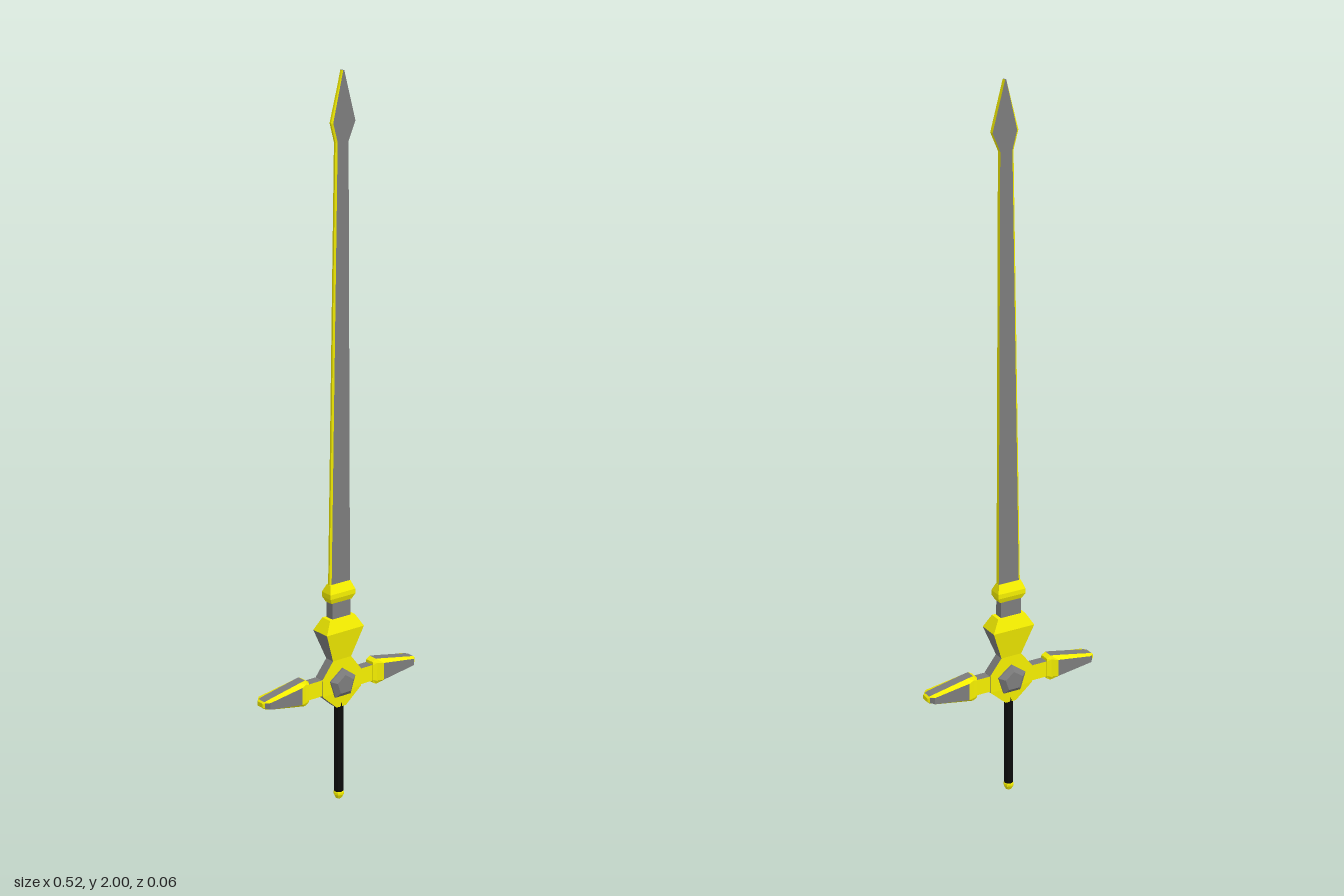
import * as THREE from 'three';

const paint = (color) => new THREE.MeshStandardMaterial({ color, flatShading: true });

// Joins cross-section loops of [x, y, z] corners; pick(segment, side) chooses the material.
function loft(name, rings, mats, pick) {
  const pos = [], geo = new THREE.BufferGeometry();
  const face = (corners, mat) => {
    const start = pos.length / 3;
    for (let i = 1; i < corners.length - 1; i++) pos.push(...corners[0], ...corners[i], ...corners[i + 1]);
    geo.addGroup(start, pos.length / 3 - start, mat);
  };
  const n = rings[0].length, last = rings.length - 1;
  for (let i = 0; i < last; i++) {
    for (let j = 0; j < n; j++) {
      const k = (j + 1) % n;
      face([rings[i][j], rings[i][k], rings[i + 1][k], rings[i + 1][j]], pick(i, j));
    }
  }
  face([...rings[0]].reverse(), pick(0, 0));
  face(rings[last], pick(last - 1, 0));
  geo.setAttribute('position', new THREE.Float32BufferAttribute(pos, 3));
  geo.computeVertexNormals();
  const mesh = new THREE.Mesh(geo, mats);
  mesh.name = name;
  return mesh;
}

// Rectangle at height y; sides run front, +x, back, -x
const slab = ([y, w, d]) => [[-w, y, d], [w, y, d], [w, y, -d], [-w, y, -d]];

// Bevelled loop across x: half height h, half depth d, half depth t of the flat top.
// Even sides are bevels; 1 and 5 are front and back, 3 and 7 bottom and top.
const octagon = ([x, h, d, t]) => {
  const s = h * 0.72;
  return [[t, h], [d, s], [d, -s], [t, -h], [-t, -h], [-d, -s], [-d, s], [-t, h]]
    .map(([z, dy]) => [x, 0.352 + dy, z]);
};

export function createModel() {
  const group = new THREE.Group();
  const GREY = 0, GOLD = 1;
  const steel = paint(0x7c7c7c), gold = paint(0xf4ee00), black = paint(0x0c0c0c);
  const mats = [steel, gold];

  // The sword's axis sits a touch to the left of the cross-guard's middle
  const core = new THREE.Group();
  core.name = 'swordCore';
  core.position.x = 0.003;
  group.add(core);
  const add = (name, geo, mat, y = 0) => {
    const mesh = new THREE.Mesh(geo, mat);
    mesh.name = name;
    mesh.position.y = y;
    core.add(mesh);
  };

  // Blade with a spear-shaped head, bevelled on one edge
  const blade = [
    [0.6, -0.034, 0.034], [1.82, -0.013, 0.027], [1.87, -0.027, 0.049], [2.0, 0.008, 0.013],
  ].map(([y, l, r]) => {
    const t = 0.006, b = l + Math.min(0.005, (r - l) / 3);
    return [[b, y, t], [r, y, t], [r, y, -t], [b, y, -t], [l, y, -t / 2], [l, y, t / 2]];
  });
  core.add(loft('blade', blade, mats, (i, j) => (j === 0 || j === 2 ? GREY : GOLD)));

  // Collar and neck under the blade
  core.add(loft('bladeCollar',
    [[0.585, 0.034, 0.013], [0.6, 0.042, 0.019], [0.613, 0.042, 0.019], [0.636, 0.034, 0.008]].map(slab),
    mats, () => GOLD));
  core.add(loft('bladeNeck', [[0.53, 0.031, 0.013], [0.595, 0.031, 0.012]].map(slab), mats, () => GREY));

  // Guard: hub flaring up into the blade socket
  const guard = [
    [0.28, 0.016, 0.012], [0.325, 0.066, 0.015], [0.375, 0.066, 0.015],
    [0.42, 0.031, 0.015], [0.505, 0.063, 0.03], [0.54, 0.042, 0.017],
  ];
  core.add(loft('guard', guard.map(slab), mats, (i, j) => (i === 4 || j % 2 === 0 ? GOLD : GREY)));

  // Five-sided gem showing on both faces of the hub
  const gemProfile = [[0, -0.031], [0.028, -0.031], [0.044, -0.02], [0.044, 0.02], [0.028, 0.031], [0, 0.031]];
  const turned = (profile, sides) =>
    new THREE.LatheGeometry(profile.map(([r, y]) => new THREE.Vector2(r, y)), sides);
  add('gem', turned(gemProfile, 5).rotateX(-Math.PI / 2), steel, 0.35);

  // Grip and pommel
  add('grip', new THREE.CylinderGeometry(0.013, 0.013, 0.28, 8), black, 0.165);
  add('pommel', turned([[0, 0], [0.009, 0.005], [0.0145, 0.016], [0.0145, 0.022], [0.011, 0.03], [0, 0.03]], 8), gold);

  // Cross-guard arms with bevelled, tapering wings
  const arm = [0.05, 0.115].map((x) =>
    [[x, 0.328, -0.014], [x, 0.374, -0.014], [x, 0.374, 0.014], [x, 0.328, 0.014]]);
  const wing = [
    [0.11, 0.03, 0.016, 0.014], [0.122, 0.037, 0.019, 0.014], [0.14, 0.034, 0.027, 0.014],
    [0.246, 0.013, 0.027, 0.014], [0.256, 0.01, 0.016, 0.013], [0.261, 0.006, 0.012, 0.01],
  ].map(octagon);
  const wingColour = (i, j) => {
    if (i === 2 || i === 3) return j % 2 ? GREY : GOLD;
    return i === 1 && j % 4 === 3 ? GREY : GOLD;
  };
  for (const side of ['left', 'right']) {
    const half = new THREE.Group();
    half.name = side + 'CrossGuard';
    half.add(loft('arm', arm, mats, (i, j) => (j % 2 === 0 ? GOLD : GREY)));
    half.add(loft('wing', wing, mats, wingColour));
    if (side === 'right') half.rotation.y = Math.PI;
    group.add(half);
  }

  group.position.z = -0.002;
  return group;
}
